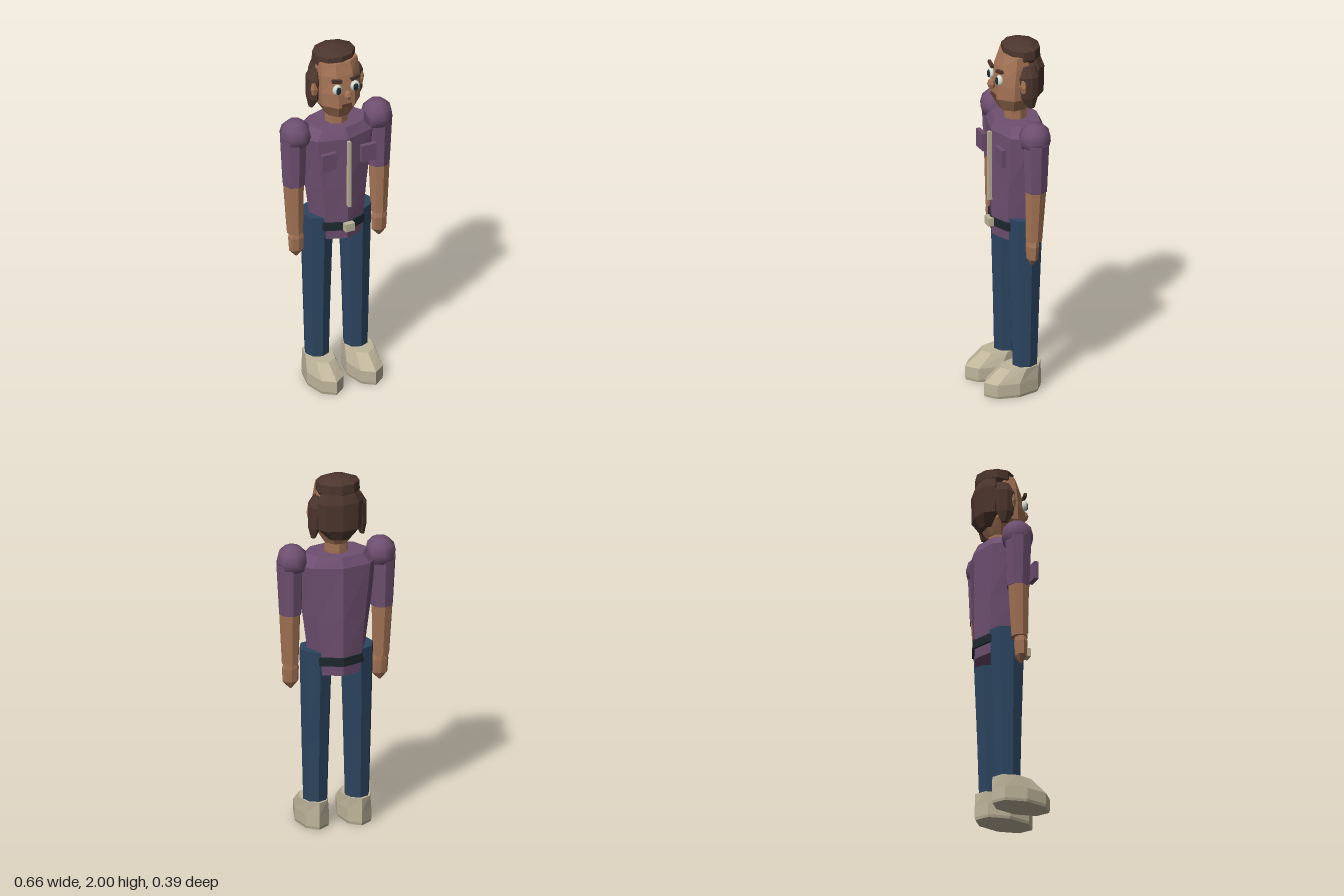
import * as THREE from 'three';

const mat = (name, color, flatShading = false) => {
  const m = new THREE.MeshStandardMaterial({ color, flatShading });
  m.name = name;
  return m;
};

// Stacks elliptical rings [y, rx, rz, cx, cz] into a closed, many-sided solid.
function loft(rings, sides = 8, turn = 0) {
  const pos = [], idx = [];
  for (const [y, rx, rz, cx = 0, cz = 0] of rings) {
    for (let j = 0; j < sides; j++) {
      const a = ((j + turn) / sides) * Math.PI * 2;
      pos.push(cx + Math.sin(a) * rx, y, cz + Math.cos(a) * rz);
    }
  }
  const last = (rings.length - 1) * sides;
  const bottom = pos.length / 3, top = bottom + 1;
  for (const [y, , , cx = 0, cz = 0] of [rings[0], rings[rings.length - 1]]) pos.push(cx, y, cz);
  for (let j = 0; j < sides; j++) {
    const k = (j + 1) % sides;
    for (let r = 0; r < last; r += sides) {
      idx.push(r + j, r + k, r + sides + k, r + j, r + sides + k, r + sides + j);
    }
    idx.push(bottom, k, j, top, last + j, last + k);
  }
  const g = new THREE.BufferGeometry();
  g.setAttribute('position', new THREE.Float32BufferAttribute(pos, 3));
  g.setIndex(idx);
  g.computeVertexNormals();
  return g;
}

export function createModel() {
  const model = new THREE.Group();
  model.name = 'standingMan';

  const shirt = mat('shirt purple', 0x6e4f70, true);
  const skin = mat('skin', 0xa37355, true);
  const hair = mat('hair brown', 0x4c362d, true);
  const jeans = mat('jeans blue', 0x2c4560, true);
  const cream = mat('cream', 0xbfb59b, true);
  const leather = mat('belt black', 0x1c282e, true);
  const white = mat('eye white', 0xd8dccf);
  const pupil = mat('pupil dark', 0x1d2f3a);
  const lips = mat('mouth brown', 0x663b30, true);
  const shirtSmooth = mat('sleeve purple', 0x6e4f70);

  const add = (name, geo, material, x = 0, y = 0, z = 0, parent = model) => {
    const m = new THREE.Mesh(geo, material);
    m.name = name;
    m.position.set(x, y, z);
    parent.add(m);
    return m;
  };
  const box = (w, h, d) => new THREE.BoxGeometry(w, h, d);
  const ball = (rx, ry, rz, w = 8, h = 6) => new THREE.SphereGeometry(1, w, h).scale(rx, ry, rz);

  // Torso, belt and shirt details
  const tz = -0.047;
  add('torso', loft([
    [0.885, 0.146, 0.138, 0, tz], [0.97, 0.155, 0.143, 0, tz], [1.2, 0.185, 0.146, 0, tz],
    [1.5, 0.228, 0.147, 0, tz], [1.555, 0.17, 0.12, 0, tz],
  ]), shirt);
  add('belt', loft([[0.942, 0.166, 0.152, 0, tz], [0.99, 0.166, 0.152, 0, tz]]), leather);
  add('buckle', box(0.056, 0.046, 0.03), cream, 0, 0.967, 0.11);
  add('zipper', box(0.016, 0.4, 0.025), cream, 0, 1.29, 0.106);

  // Neck and head
  add('neck', loft([[1.53, 0.064, 0.064, 0, -0.045], [1.66, 0.064, 0.064, 0, -0.045]]), skin);
  add('head', loft([
    [1.61, 0.07, 0.08, 0, -0.035], [1.69, 0.122, 0.128, 0, -0.035],
    [1.77, 0.126, 0.125, 0, -0.035], [1.87, 0.124, 0.1, 0, -0.035],
    [1.935, 0.115, 0.075, 0, -0.035],
  ], 8, 0.5), skin);
  add('nose', ball(0.022, 0.03, 0.025, 6, 4), skin, 0, 1.768, 0.095);
  add('mouth', box(0.056, 0.018, 0.009), lips, 0, 1.702, 0.083);

  // Hair: cap on top and mass at the back
  add('hairCap', loft([
    [1.895, 0.108, 0.09, 0, -0.075], [1.915, 0.12, 0.102, 0, -0.075],
    [1.965, 0.118, 0.1, 0, -0.075], [1.985, 0.07, 0.06, 0, -0.075], [2.0, 0.005, 0.005, 0, -0.075],
  ], 10), hair);
  add('backHair', loft([
    [1.65, 0.06, 0.035, 0, -0.125], [1.71, 0.12, 0.068, 0, -0.122],
    [1.86, 0.128, 0.07, 0, -0.122], [1.925, 0.095, 0.055, 0, -0.115],
  ]), hair);

  // Paired parts
  for (const s of [1, -1]) {
    const side = s > 0 ? 'left' : 'right';
    const part = (name, rings, material, sides = 8) => add(side + name,
      loft(rings.map(([y, rx, rz, cx, cz]) => [y, rx, rz, s * cx, cz]), sides), material);

    // Face
    add(side + 'Eye', ball(0.027, 0.031, 0.018, 12, 8), white, s * 0.053, 1.803, 0.073);
    add(side + 'Pupil', ball(0.015, 0.022, 0.008, 10, 6), pupil, s * 0.051, 1.803, 0.088);
    const brow = add(side + 'Brow', box(0.056, 0.017, 0.016), hair, s * 0.055, 1.855, 0.074);
    brow.rotation.set(0, s * 0.12, s * 0.2);
    part('SideHair', [
      [1.65, 0.012, 0.02, 0.135, -0.075], [1.71, 0.034, 0.05, 0.127, -0.068],
      [1.83, 0.036, 0.058, 0.125, -0.068], [1.885, 0.015, 0.035, 0.115, -0.072],
    ], hair);
    add(side + 'Ear', ball(0.024, 0.05, 0.02, 6, 4), skin, s * 0.135, 1.78, -0.03);

    // Chest pocket
    add(side + 'Pocket', box(0.086, 0.1, 0.024), shirt, s * 0.118, 1.39, 0.1);

    // Arm
    add(side + 'Shoulder', ball(0.087, 0.09, 0.09), shirtSmooth, s * 0.243, 1.52, -0.045);
    part('Sleeve', [
      [1.22, 0.062, 0.064, 0.252, -0.045], [1.5, 0.074, 0.075, 0.255, -0.045],
    ], shirt);
    part('Forearm', [
      [0.93, 0.046, 0.046, 0.25, -0.035], [1.225, 0.058, 0.06, 0.255, -0.043],
    ], skin);
    part('Hand', [
      [0.785, 0.006, 0.006, 0.246, -0.026], [0.825, 0.043, 0.03, 0.246, -0.026],
      [0.9, 0.047, 0.036, 0.247, -0.027], [0.945, 0.035, 0.03, 0.248, -0.03],
    ], skin);

    // Leg and shoe
    part('Leg', [
      [0.13, 0.066, 0.07, 0.115, -0.045], [0.5, 0.076, 0.08, 0.115, -0.047],
      [1.015, 0.09, 0.1, 0.113, -0.05],
    ], jeans);
    part('Shoe', [
      [0, 0.088, 0.163, 0.117, 0.028], [0.015, 0.092, 0.167, 0.117, 0.028],
      [0.08, 0.092, 0.167, 0.117, 0.028], [0.152, 0.078, 0.118, 0.117, -0.018],
    ], cream);
  }
  return model;
}
